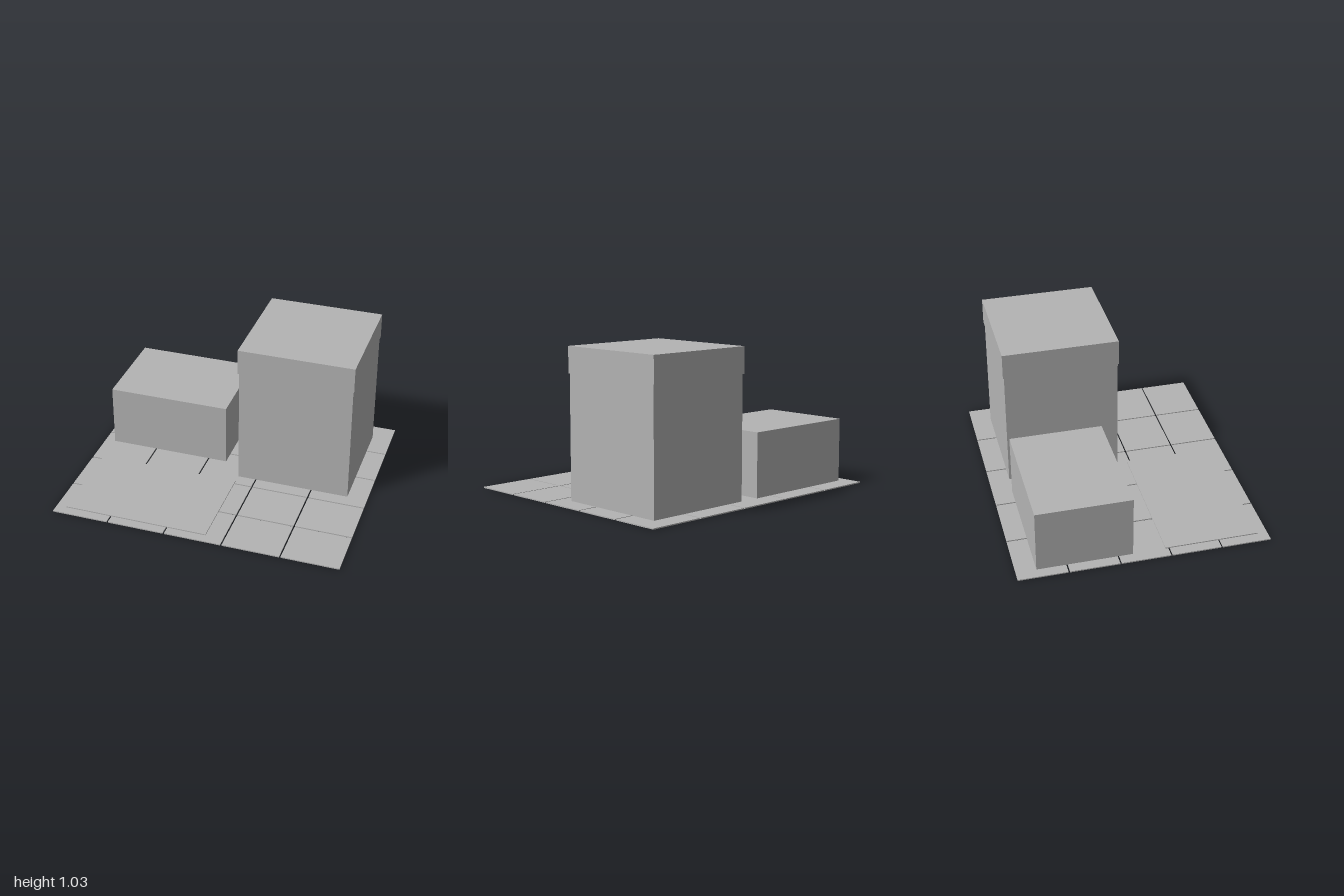
import * as THREE from 'three';

const grey = new THREE.MeshStandardMaterial({ color: 0xb4b4b4 });
grey.name = 'grey';

// Box given by its extents along each axis
function block(name, [x0, x1], [y0, y1], [z0, z1]) {
  const mesh = new THREE.Mesh(new THREE.BoxGeometry(x1 - x0, y1 - y0, z1 - z0), grey);
  mesh.position.set((x0 + x1) / 2, (y0 + y1) / 2, (z0 + z1) / 2);
  mesh.name = name;
  return mesh;
}

export function createModel() {
  const model = new THREE.Group();
  model.name = 'packageDisplay';

  // Five by five floor tiles with open joints
  const floor = new THREE.Group();
  floor.name = 'tiledFloor';
  const tileX = 0.392, tileZ = 0.333, top = 0.008;
  const stepX = (2 - tileX) / 4, stepZ = (1.706 - tileZ) / 4;
  for (let i = -2; i <= 2; i++) {
    for (let j = -2; j <= 2; j++) {
      const x = i * stepX, z = j * stepZ;
      floor.add(block('floorTile', [x - tileX / 2, x + tileX / 2], [0, top], [z - tileZ / 2, z + tileZ / 2]));
    }
  }
  model.add(floor);

  // Thin mat at the front
  model.add(block('frontMat', [-0.928, 0.073], [top, 0.015], [0.147, 0.79]));

  // Low box at the back
  model.add(block('lowBox', [-0.928, -0.068], [top, 0.45], [-0.717, 0.073 - 0.146]));

  // Tall box with a slightly overhanging lid
  const tall = new THREE.Group();
  tall.name = 'tallBox';
  tall.add(block('tallBoxBody', [0.074, 0.862], [top, 0.85], [-0.711, 0.077]));
  tall.add(block('tallBoxLid', [0.066, 0.868], [0.848, 1.027], [-0.719, 0.083]));
  model.add(tall);

  return model;
}
